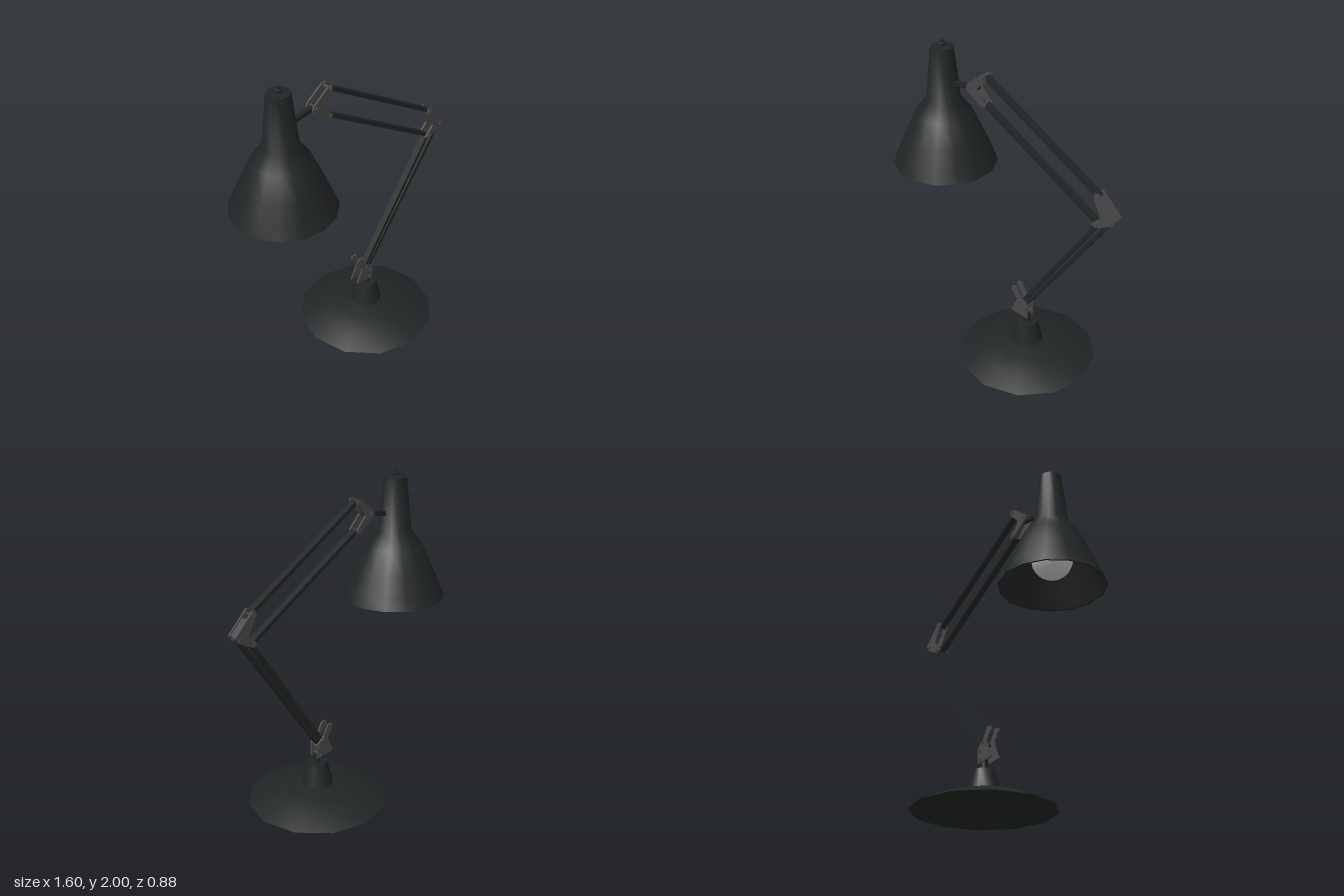
import * as THREE from 'three';
import { toCreasedNormals } from 'three/addons/utils/BufferGeometryUtils.js';

const black = new THREE.MeshStandardMaterial({ color: 0x222525 });
const grey = new THREE.MeshStandardMaterial({ color: 0x484848 });
const light = new THREE.MeshStandardMaterial({ color: 0xcccccc });

const BASE_X = 0.177;
const SHADE_X = -0.478;

export function createModel() {
  const model = new THREE.Group();
  model.name = 'deskLamp';

  function add(parent, name, geometry, material, x = 0, y = 0, z = 0) {
    const mesh = new THREE.Mesh(geometry, material);
    mesh.name = name;
    mesh.position.set(x, y, z);
    parent.add(mesh);
    return mesh;
  }

  // Turned part from a profile of [radius, height] pairs
  function turned(name, profile, sides, material, x, start = 0) {
    const points = profile.map(([r, y]) => new THREE.Vector2(r, y));
    const geometry = new THREE.LatheGeometry(points, sides, start);
    return add(model, name, toCreasedNormals(geometry, 0.75), material, x);
  }

  // Flat bar between two points in the plane of the arm
  function bar(name, [x1, y1], [x2, y2], thick, depth, material = black) {
    const length = Math.hypot(x2 - x1, y2 - y1);
    const mesh = add(model, name, new THREE.BoxGeometry(length, thick, depth), material,
      (x1 + x2) / 2, (y1 + y2) / 2);
    mesh.rotation.z = Math.atan2(y2 - y1, x2 - x1);
  }

  // Joint: two matching plates with bolts running through them
  function joint(name, outline, bolts) {
    const group = new THREE.Group();
    group.name = name;
    model.add(group);
    const shape = new THREE.Shape(outline.map(([x, y]) => new THREE.Vector2(x, y)));
    const plate = new THREE.ExtrudeGeometry(shape, { depth: 0.012, bevelEnabled: false });
    add(group, 'frontPlate', plate, grey, 0, 0, 0.022);
    add(group, 'backPlate', plate, grey, 0, 0, -0.034);
    const bolt = toCreasedNormals(new THREE.CylinderGeometry(0.011, 0.011, 0.084, 8).rotateX(Math.PI / 2), 0.9);
    for (const [x, y] of bolts) add(group, 'bolt', bolt, grey, x, y);
  }

  // Base and swivel stem
  turned('base', [[0, 0], [0.442, 0], [0.30, 0.065], [0.20, 0.09], [0.10, 0.106],
    [0.065, 0.244], [0, 0.25]], 12, black, BASE_X);
  turned('stem', [[0, 0.24], [0.02, 0.24], [0.02, 0.31], [0, 0.31]], 10, black, BASE_X);

  // Joints
  joint('baseJoint', [[0.07, 0.30], [0.11, 0.385], [0.113, 0.41], [0.07, 0.47], [0.08, 0.493],
    [0.11, 0.493], [0.15, 0.42], [0.20, 0.38], [0.20, 0.285]],
  [[0.15, 0.40], [0.18, 0.36], [0.177, 0.305]]);
  joint('elbowJoint', [[0.67, 1.40], [0.65, 1.395], [0.645, 1.37], [0.70, 1.26], [0.64, 1.195],
    [0.67, 1.178], [0.78, 1.235], [0.797, 1.27]],
  [[0.668, 1.376], [0.67, 1.20], [0.765, 1.25]]);
  joint('headJoint', [[-0.27, 1.775], [-0.255, 1.80], [-0.16, 1.875], [-0.13, 1.88], [-0.125, 1.85],
    [-0.20, 1.77], [-0.125, 1.69], [-0.135, 1.67], [-0.16, 1.68], [-0.27, 1.755]],
  [[-0.142, 1.862], [-0.143, 1.687], [-0.245, 1.775]]);
  bar('elbowWeb', [0.70, 1.35], [0.785, 1.265], 0.012, 0.044, grey);

  // Parallel arms
  bar('lowerArm', [0.147, 0.39], [0.675, 1.20], 0.024, 0.042);
  bar('lowerArm', [0.172, 0.375], [0.765, 1.25], 0.024, 0.042);
  bar('upperArm', [-0.142, 1.862], [0.67, 1.376], 0.024, 0.042);
  bar('upperArm', [-0.143, 1.687], [0.67, 1.197], 0.024, 0.042);
  bar('shadeNeck', [-0.42, 1.738], [-0.20, 1.778], 0.028, 0.03);

  // Hollow shade: inner wall down to the rim, then outer wall up to the knob
  turned('shade', [[0, 1.93], [0.06, 1.93], [0.097, 1.625], [0.166, 1.53], [0.23, 1.39],
    [0.28, 1.275], [0.312, 1.20], [0.3235, 1.20], [0.29, 1.28], [0.24, 1.395], [0.175, 1.535],
    [0.106, 1.628], [0.07, 1.957], [0.022, 1.965], [0.022, 1.98], [0.012, 1.985],
    [0.011, 1.998], [0, 2]], 15, black, SHADE_X, -Math.PI / 2);

  // Bulb with its neck running up into the shade
  const bulb = [];
  for (let i = 0; i <= 10; i++) {
    const a = (i / 10) * 2.5;
    bulb.push([0.125 * Math.sin(a), 1.38 - 0.125 * Math.cos(a)]);
  }
  bulb.push([0.05, 1.53], [0.045, 1.62], [0, 1.62]);
  turned('bulb', bulb, 20, light, SHADE_X);
  turned('socket', [[0, 1.60], [0.055, 1.60], [0.055, 1.935], [0, 1.935]], 15, black, SHADE_X);

  return model;
}
